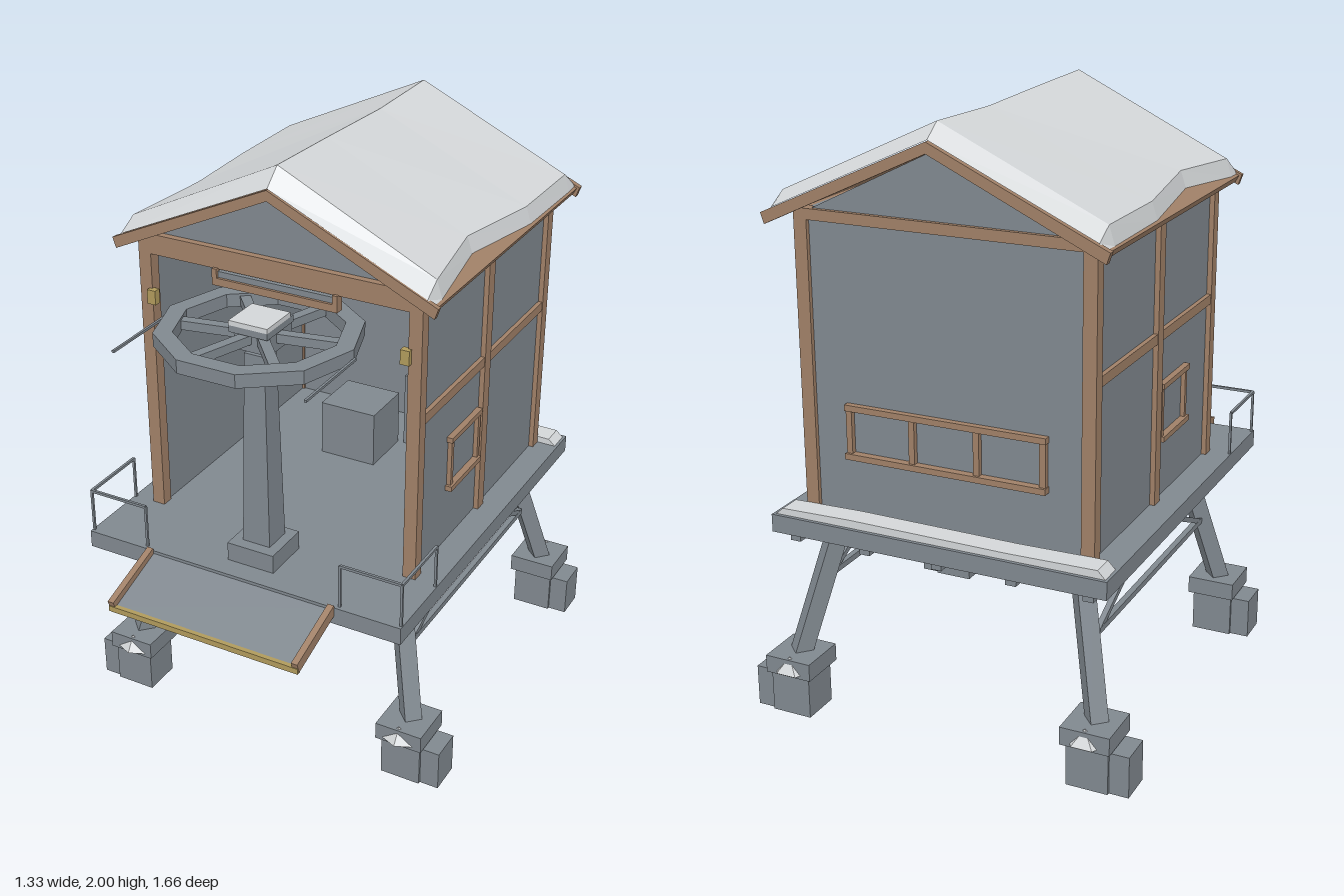
import * as THREE from 'three';

const mat = (name, color) => Object.assign(new THREE.MeshStandardMaterial({ color }), { name });

export function createModel() {
  const root = new THREE.Group();
  root.name = 'stiltWheelhouse';
  const steel = mat('steel', 0x80888f);
  const wood = mat('wood', 0xa08067);
  const brass = mat('brass', 0xb09a5c);
  const snow = mat('snow', 0xd3d6d8);

  const add = (name, geo, m) => {
    const mesh = new THREE.Mesh(geo, m);
    mesh.name = name;
    root.add(mesh);
    return mesh;
  };
  // Box given by its limits on each axis
  const box = (name, m, x0, x1, y0, y1, z0, z1) => {
    const mesh = add(name, new THREE.BoxGeometry(x1 - x0, y1 - y0, z1 - z0), m);
    mesh.position.set((x0 + x1) / 2, (y0 + y1) / 2, (z0 + z1) / 2);
    return mesh;
  };
  // The same box on both sides of x = 0
  const pair = (name, m, x0, x1, ...r) => {
    box(name, m, x0, x1, ...r);
    box(name, m, -x1, -x0, ...r);
  };
  // Rectangular bar between two points
  const bar = (name, m, a, b, w, h = w) => {
    const p = new THREE.Vector3(...a), q = new THREE.Vector3(...b);
    const mesh = add(name, new THREE.BoxGeometry(w, h, p.distanceTo(q)), m);
    mesh.position.copy(p).add(q).multiplyScalar(0.5);
    mesh.lookAt(q);
    return mesh;
  };
  // Shape in the x-y plane extruded along z
  const slab = (name, m, pts, z0, z1) => {
    const shape = new THREE.Shape(pts.map(p => new THREE.Vector2(...p)));
    const geo = new THREE.ExtrudeGeometry(shape, { depth: z1 - z0, bevelEnabled: false });
    geo.translate(0, 0, z0);
    return add(name, geo, m);
  };

  // Platform and joists
  box('platform', steel, -0.58, 0.58, 0.64, 0.7, -0.78, 0.594);
  for (const x of [-0.51, -0.255, 0, 0.255, 0.51])
    box('joist', steel, x - 0.018, x + 0.018, 0.61, 0.64, -0.755, 0.29);

  // Legs, feet and braces
  for (const s of [-1, 1]) {
    for (const [zTop, zLow, d] of [[0.285, 0.395, 1], [-0.61, -0.725, -1]]) {
      bar('leg', steel, [s * 0.425, 0.65, zTop], [s * 0.532, 0.19, zLow], 0.058);
      const zc = zLow + d * 0.008;
      const span = (a, b) => (s > 0 ? [a, b] : [-b, -a]);
      box('footCap', steel, ...span(0.445, 0.61), 0.145, 0.205, zc - 0.082, zc + 0.082);
      box('footBlock', steel, ...span(0.46, 0.6), 0, 0.145, zc - 0.066, zc + 0.066);
      box('footSideBlock', steel, ...span(0.58, 0.665), 0, 0.14, zc - 0.056, zc + 0.056);
      // Small snow drift against the outer face of the foot
      const drift = add('footSnow', new THREE.ConeGeometry(0.06, 0.055, 5).toNonIndexed(), snow);
      drift.geometry.computeVertexNormals();
      drift.scale.z = 0.6;
      drift.position.set(s * 0.525, 0.185, zc + d * 0.07);
    }
    bar('braceRail', steel, [s * 0.48, 0.44, 0.31], [s * 0.48, 0.44, -0.61], 0.02);
    bar('braceDiagonal', steel, [s * 0.48, 0.44, 0.3], [s * 0.48, 0.62, -0.1], 0.018);
    bar('braceDiagonal', steel, [s * 0.48, 0.44, -0.6], [s * 0.48, 0.62, -0.22], 0.018);
  }

  // Walls
  pair('sideWall', steel, 0.465, 0.485, 0.7, 1.68, -0.675, 0.32);
  box('backWall', steel, -0.48, 0.48, 0.7, 1.68, -0.675, -0.655);
  const gable = [[-0.485, 1.67], [0.485, 1.67], [0, 1.91]];
  slab('frontGable', steel, gable, 0.29, 0.31);
  slab('backGable', steel, gable, -0.675, -0.655);

  // Timber frame
  for (const [z0, z1] of [[0.292, 0.334], [-0.69, -0.647]])
    pair('cornerPost', wood, 0.457, 0.502, 0.7, 1.69, z0, z1);
  pair('sidePost', wood, 0.484, 0.502, 0.7, 1.68, -0.2, -0.155);
  pair('sideRail', wood, 0.484, 0.5, 1.247, 1.28, -0.65, 0.295);
  pair('wallPlate', wood, 0.484, 0.5, 1.65, 1.68, -0.65, 0.295);
  box('frontLintel', wood, -0.46, 0.46, 1.632, 1.7, 0.292, 0.334);
  box('backLintel', wood, -0.46, 0.46, 1.655, 1.69, -0.69, -0.655);
  // Hanging bracket under the lintel
  box('bracketShelf', wood, -0.222, 0.222, 1.58, 1.605, 0.315, 0.345);
  pair('bracketEnd', wood, 0.205, 0.222, 1.605, 1.635, 0.315, 0.345);
  box('bracketPanel', steel, -0.205, 0.205, 1.605, 1.625, 0.318, 0.336);

  // Side windows
  for (const [z0, z1] of [[-0.145, -0.128], [0.063, 0.08]])
    pair('sideWindowJamb', wood, 0.48, 0.5, 0.91, 1.09, z0, z1);
  pair('sideWindowHead', wood, 0.48, 0.506, 1.08, 1.098, -0.145, 0.09);
  pair('sideWindowSill', wood, 0.48, 0.508, 0.9, 0.918, -0.145, 0.09);
  // Back window with three panes
  for (const x of [-0.332, -0.111, 0.111, 0.332])
    box('backWindowJamb', wood, x - 0.01, x + 0.01, 0.91, 1.075, -0.693, -0.67);
  box('backWindowHead', wood, -0.345, 0.345, 1.06, 1.08, -0.697, -0.67);
  box('backWindowSill', wood, -0.345, 0.345, 0.9, 0.92, -0.702, -0.67);

  // Roof boards and gable trim
  const roofTop = x => 1.94 - 0.455 * Math.abs(x);
  const chevron = (w, up, down) => [
    [-w, roofTop(w) + up], [-w + 0.012, roofTop(w) - down], [0, 1.94 - down],
    [w - 0.012, roofTop(w) - down], [w, roofTop(w) + up], [0, 1.94 + up]].reverse();
  slab('roof', wood, chevron(0.56, -0.006, 0.028), -0.745, 0.36);
  slab('frontTrim', wood, chevron(0.57, 0.002, 0.033), 0.36, 0.377);
  slab('backTrim', wood, chevron(0.57, 0.002, 0.033), -0.764, -0.743);

  // Snow blanket: cross-sections [z, half width, thickness, ridge height]
  const sections = [
    [0.372, 0.55, 0.004, 1.945], [0.31, 0.55, 0.045, 2], [0, 0.505, 0.04, 1.993],
    [-0.36, 0.55, 0.042, 1.982], [-0.69, 0.552, 0.045, 1.99], [-0.752, 0.55, 0.004, 1.945]];
  const pos = [], idx = [];
  sections.forEach(([z, w, t, ridge], i) => {
    const in1 = w - 0.018;
    pos.push(-w, roofTop(w) - 0.006, z, -in1, roofTop(in1) + t, z, 0, ridge, z,
      in1, roofTop(in1) + t, z, w, roofTop(w) - 0.006, z);
    if (i) for (let j = 0; j < 4; j++) {
      const a = (i - 1) * 5 + j, d = i * 5 + j;
      idx.push(a, a + 1, d + 1, a, d + 1, d);
    }
  });
  const indexed = new THREE.BufferGeometry();
  indexed.setAttribute('position', new THREE.Float32BufferAttribute(pos, 3));
  indexed.setIndex(idx);
  const blanket = indexed.toNonIndexed();
  blanket.computeVertexNormals();
  add('roofSnow', blanket, snow);

  // Snow strip along the back ledge
  slab('ledgeSnow', snow, [[-0.57, 0.7], [0.57, 0.7], [0.545, 0.722], [0.3, 0.727],
    [-0.25, 0.722], [-0.545, 0.726]], -0.768, -0.69);

  // Pedestal
  box('pedestalBase', steel, -0.085, 0.085, 0.7, 0.765, 0.35, 0.52);
  const shaft = new THREE.CylinderGeometry(0.036 * Math.SQRT2, 0.05 * Math.SQRT2, 0.675, 4)
    .rotateY(Math.PI / 4).toNonIndexed();
  shaft.computeVertexNormals();
  add('pedestal', shaft, steel).position.set(0, 1.1025, 0.43);

  // Ten-sided horizontal wheel with six spokes
  const ring = r => Array.from({ length: 10 }, (_, i) =>
    new THREE.Vector2(r * Math.cos(i * Math.PI / 5), r * Math.sin(i * Math.PI / 5)));
  const rim = new THREE.Shape(ring(0.325));
  rim.holes.push(new THREE.Path(ring(0.265)));
  const rimGeo = new THREE.ExtrudeGeometry(rim, { depth: 0.045, bevelEnabled: false });
  add('wheelRim', rimGeo.rotateX(-Math.PI / 2), steel).position.set(0, 1.475, 0.43);
  for (let i = 0; i < 6; i++) {
    const a = (-19 + i * 60) * Math.PI / 180;
    bar('wheelSpoke', steel, [0, 1.497, 0.43],
      [0.262 * Math.sin(a), 1.497, 0.43 + 0.262 * Math.cos(a)], 0.034, 0.03);
  }
  box('wheelHub', steel, -0.062, 0.062, 1.455, 1.52, 0.34, 0.48);
  box('hubBlock', steel, -0.068, 0.068, 1.518, 1.54, 0.34, 0.5);
  box('hubSnow', snow, -0.068, 0.068, 1.54, 1.556, 0.36, 0.5);
  pair('wheelRod', steel, 0.326, 0.334, 1.486, 1.494, 0.43, 0.735);

  // Brass lamps on the front posts
  pair('lamp', brass, 0.437, 0.468, 1.463, 1.512, 0.325, 0.35);

  // Crates inside
  box('lowCrate', steel, -0.16, 0.05, 0.7, 0.9, -0.45, -0.25);
  box('tallCrate', steel, 0.072, 0.185, 0.7, 0.975, -0.62, -0.45);

  // Front ramp
  bar('ramp', steel, [0, 0.685, 0.585], [0, 0.607, 0.815], 0.66, 0.014);
  for (const s of [-1, 1])
    bar('rampSide', wood, [s * 0.338, 0.692, 0.59], [s * 0.338, 0.617, 0.823], 0.022, 0.038);
  box('rampLip', brass, -0.348, 0.348, 0.597, 0.617, 0.81, 0.826);

  // Corner railings
  for (const s of [-1, 1]) {
    const corner = [s * 0.574, 0.578], ends = [[s * 0.36, 0.578], [s * 0.574, 0.335]];
    for (const [x, z] of [corner, ...ends])
      box('railPost', steel, x - 0.004, x + 0.004, 0.7, 0.852, z - 0.004, z + 0.004);
    for (const [x, z] of ends)
      bar('handRail', steel, [corner[0], 0.85, corner[1]], [x, 0.85, z], 0.009);
  }
  return root;
}
